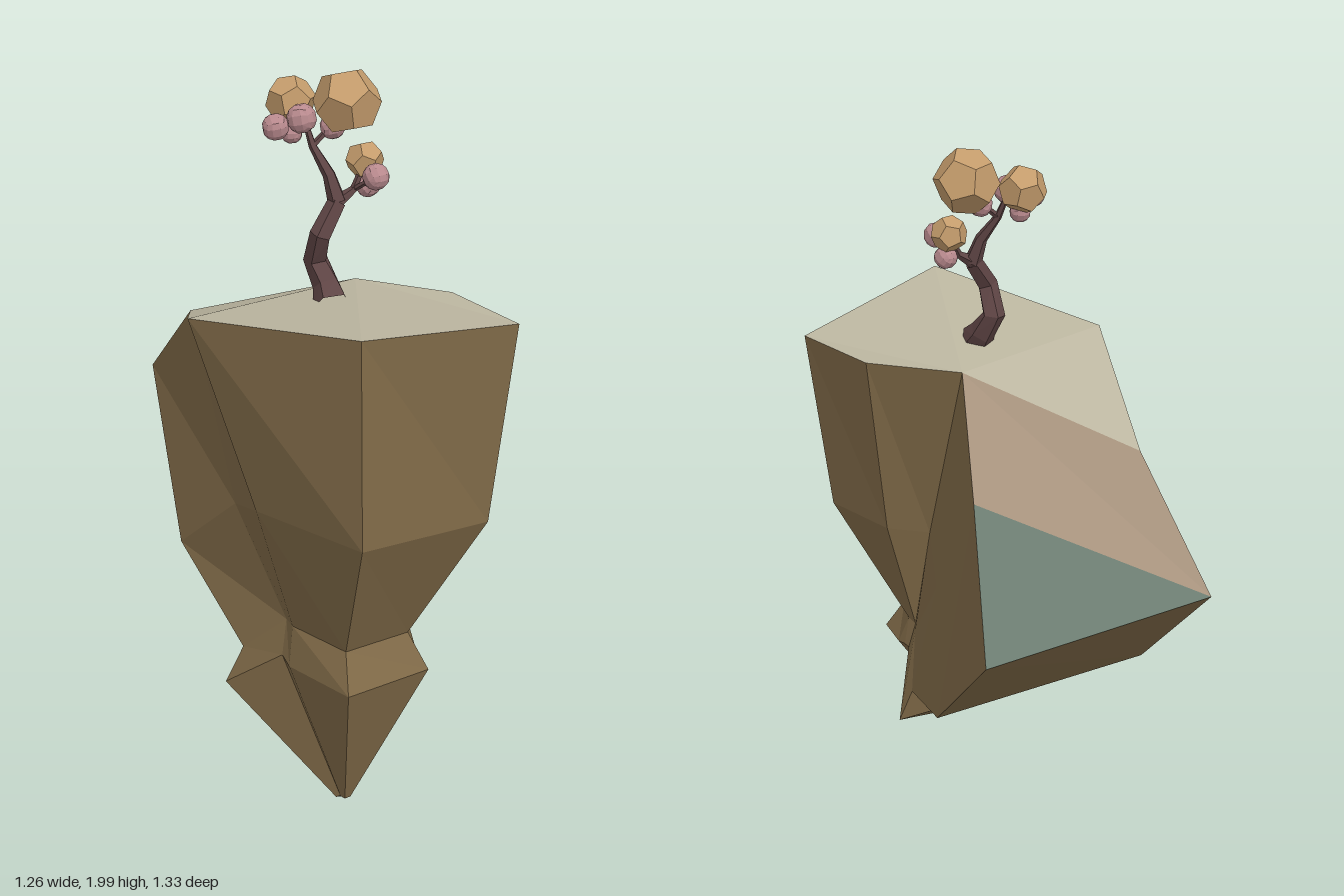
import * as THREE from 'three';

const mat = (color) => new THREE.MeshStandardMaterial({ color, flatShading: true, side: THREE.DoubleSide });
const rockMat = mat(0x806a48), grassMat = mat(0xbcb6a0), earthMat = mat(0xa5917c), mossMat = mat(0x6b7c70);
const trunkMat = mat(0x5f4545), leafMat = mat(0xc49c6c), blossomMat = mat(0xb98a8e);

// Cliff cross-sections, counter-clockwise from the back corner, rim first
const rim = [[-0.1, 0.86, -0.66], [-0.63, 0.915, -0.25], [-0.39, 1.215, -0.01], [-0.19, 1.39, 0.455], [0.35, 1.47, 0.63],
  [0.63, 1.39, 0.19], [0.4, 1.39, 0.03], [0.12, 1.39, 0.02], [0, 1.18, -0.36]];
const belly = [[0.12, 0.47, -0.32], [-0.4, 0.51, 0.08], [-0.16, 0.75, 0.23], [0.01, 0.88, 0.49], [0.37, 0.91, 0.665],
  [0.58, 0.83, 0.24], [0.375, 0.83, 0.11], [0.25, 0.82, 0.13], [0.18, 0.75, -0.07]];
const neck = [[0.29, 0.32, 0.035], [-0.105, 0.345, 0.32], [0.04, 0.48, 0.35], [0.085, 0.505, 0.42], [0.28, 0.525, 0.53],
  [0.38, 0.48, 0.3], [0.34, 0.48, 0.2], [0.315, 0.47, 0.185], [0.31, 0.46, 0.16]];
const bulge = [[0.33, 0.215, 0.03], [-0.14, 0.25, 0.37], [0.05, 0.4, 0.41], [0.09, 0.4, 0.46], [0.32, 0.445, 0.62],
  [0.445, 0.38, 0.31], [0.38, 0.38, 0.22], [0.355, 0.385, 0.2], [0.34, 0.38, 0.19]];
const point = [0.26, -0.01, 0.475];
const tip = bulge.map((p) => p.map((v, k) => point[k] + (v - point[k]) * 0.07));

// Mesh from a list of triangles given as corner points
function facets(name, triangles, material) {
  const geometry = new THREE.BufferGeometry();
  geometry.setAttribute('position', new THREE.Float32BufferAttribute(triangles.flat(2), 3));
  geometry.computeVertexNormals();
  const mesh = new THREE.Mesh(geometry, material);
  mesh.name = name;
  return mesh;
}

// Walls joining successive cross-sections, closed at the tip
function cliffWalls() {
  const rings = [rim, belly, neck, bulge, tip], tris = [];
  for (let r = 0; r < rings.length - 1; r++) {
    const up = rings[r], low = rings[r + 1];
    for (let i = 0; i < up.length; i++) {
      const j = (i + 1) % up.length;
      tris.push([up[i], low[i], low[j]], [up[i], low[j], up[j]]);
    }
  }
  for (let i = 1; i < tip.length - 1; i++) tris.push([tip[0], tip[i + 1], tip[i]]);
  return facets('cliffWalls', tris, rockMat);
}

// Angular limb: five-sided rings along a path with a radius at each point
function limb(name, path, radii) {
  const rings = path.map((p, i) => {
    const a = new THREE.Vector3(...path[Math.max(i - 1, 0)]);
    const b = new THREE.Vector3(...path[Math.min(i + 1, path.length - 1)]);
    const turn = new THREE.Quaternion().setFromUnitVectors(new THREE.Vector3(0, 1, 0), b.sub(a).normalize());
    return Array.from({ length: 5 }, (_, k) => {
      const t = (k / 5) * Math.PI * 2;
      const v = new THREE.Vector3(Math.sin(t), 0, Math.cos(t)).multiplyScalar(radii[i]).applyQuaternion(turn);
      return v.add(new THREE.Vector3(...p)).toArray();
    });
  });
  const tris = [];
  for (let i = 0; i < rings.length - 1; i++) {
    for (let k = 0; k < 5; k++) {
      const j = (k + 1) % 5, low = rings[i], up = rings[i + 1];
      tris.push([low[k], low[j], up[j]], [low[k], up[j], up[k]]);
    }
  }
  return facets(name, tris, trunkMat);
}

// Cube grid pushed out to a ball
function blockBall() {
  const geometry = new THREE.BoxGeometry(2, 2, 2, 3, 3, 3);
  const p = geometry.attributes.position, v = new THREE.Vector3();
  for (let i = 0; i < p.count; i++) {
    v.fromBufferAttribute(p, i).normalize();
    p.setXYZ(i, v.x, v.y, v.z);
  }
  geometry.computeVertexNormals();
  return geometry;
}

export function createModel() {
  const model = new THREE.Group();
  model.name = 'cliffWithTree';

  // Rock and the sloping ground on top
  const [A, B, D, I, H, G, F, E, C] = rim;
  const cliff = new THREE.Group();
  cliff.name = 'cliff';
  cliff.add(
    cliffWalls(),
    facets('grassTop', [[E, D, I], [E, I, H], [E, H, G], [E, G, F]], grassMat),
    facets('earthSlope', [[B, D, E], [B, E, C]], earthMat),
    facets('mossSlope', [[A, B, C]], mossMat),
  );

  // Crooked trunk and branches
  const tree = new THREE.Group();
  tree.name = 'tree';
  const fork = [0.125, 1.66, 0.18];
  tree.add(
    limb('trunk', [[0.13, 1.4, 0.24], [0.105, 1.44, 0.21], [0.07, 1.5, 0.195], [0.095, 1.58, 0.225], fork],
      [0.05, 0.038, 0.034, 0.03, 0.026]),
    limb('leftBranch', [fork, [0.1, 1.73, 0.175], [0.05, 1.8, 0.165], [0.02, 1.87, 0.15]], [0.026, 0.018, 0.011, 0.007]),
    limb('upperTwig', [[0.05, 1.8, 0.165], [0.09, 1.85, 0.125], [0.12, 1.9, 0.11]], [0.009, 0.008, 0.006]),
    limb('rightBranch', [fork, [0.16, 1.69, 0.15], [0.175, 1.75, 0.12]], [0.02, 0.011, 0.007]),
    limb('rightTwig', [[0.16, 1.69, 0.15], [0.225, 1.735, 0.165]], [0.008, 0.006]),
  );

  // Foliage: x, y, z, radius
  const dodeca = new THREE.DodecahedronGeometry(1), block = blockBall();
  const addBalls = (name, geometry, material, list) => list.forEach(([x, y, z, r], i) => {
    const ball = new THREE.Mesh(geometry, material);
    ball.name = name;
    ball.position.set(x, y, z);
    ball.scale.setScalar(r);
    ball.rotation.set(0.3 + i, 0.5 + i * 1.3, 0.2 * i);
    tree.add(ball);
  });
  addBalls('leafClump', dodeca, leafMat,
    [[0.125, 1.913, 0.11, 0.092], [-0.03, 1.9, 0.115, 0.068], [0.175, 1.76, 0.11, 0.052]]);
  addBalls('blossom', block, blossomMat, [[-0.035, 1.855, 0.213, 0.036], [0.025, 1.875, 0.18, 0.04],
    [0.09, 1.845, 0.125, 0.034], [-0.015, 1.825, 0.15, 0.03], [0.225, 1.735, 0.165, 0.036], [0.185, 1.692, 0.11, 0.033]]);

  model.add(cliff, tree);
  return model;
}
